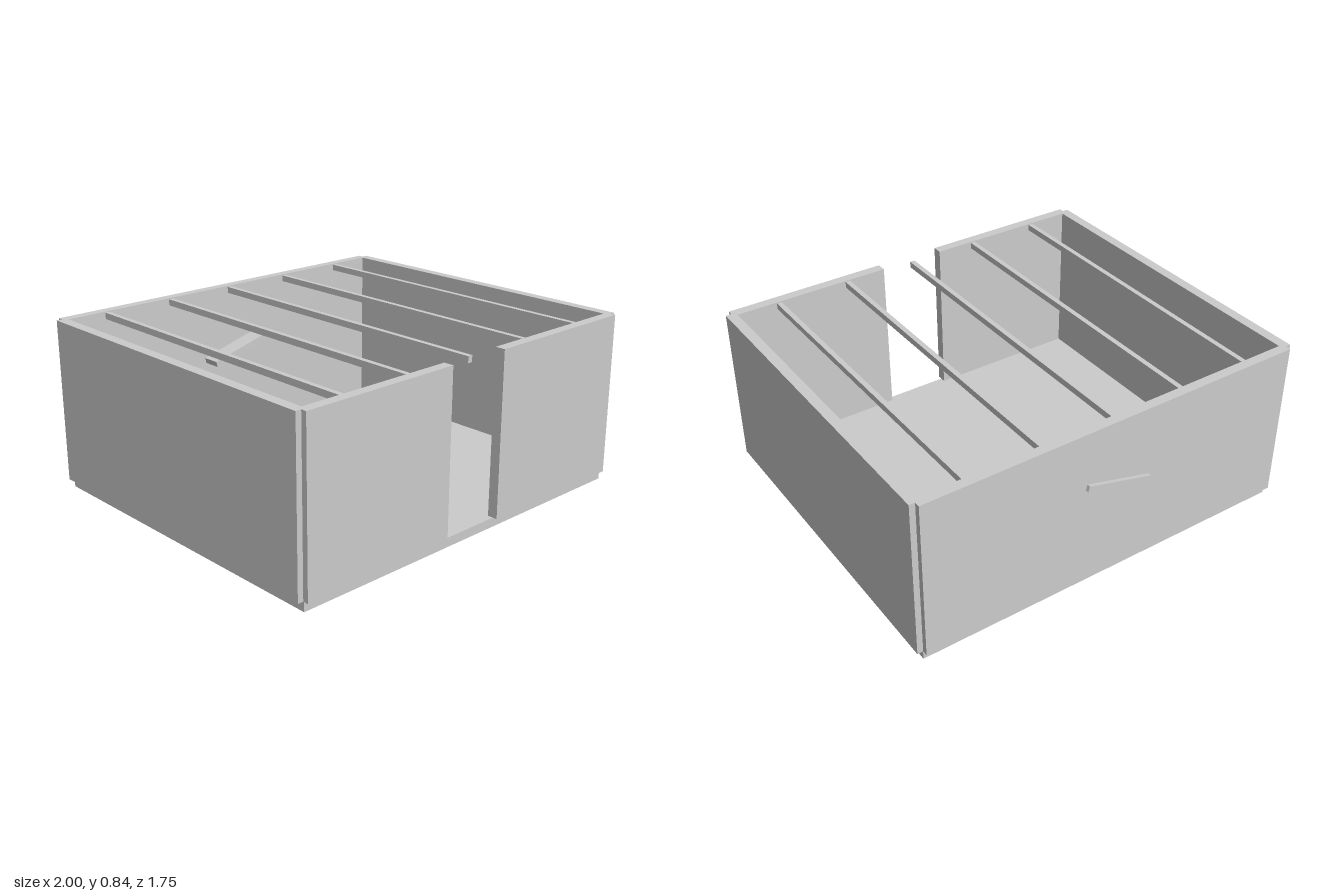
import * as THREE from 'three';

export function createModel() {
  const model = new THREE.Group();
  const material = new THREE.MeshStandardMaterial({ color: 0xcccccc, flatShading: true });

  // Box given by its lower and upper limits on each axis
  function box(name, [x0, x1], [y0, y1], [z0, z1]) {
    const mesh = new THREE.Mesh(new THREE.BoxGeometry(x1 - x0, y1 - y0, z1 - z0), material);
    mesh.name = name;
    mesh.position.set((x0 + x1) / 2, (y0 + y1) / 2, (z0 + z1) / 2);
    model.add(mesh);
    return mesh;
  }

  const wallY = [0.045, 0.842];

  // Floor slab, set in slightly from the walls
  box('floor', [-0.972, 0.972], [0, 0.045], [-0.832, 0.85]);

  // Side walls, standing proud of the corners
  box('leftWall', [0.95, 1], wallY, [-0.833, 0.845]);
  box('rightWall', [-1, -0.95], wallY, [-0.833, 0.845]);

  // Back wall, and front wall split by the doorway
  box('backWall', [-0.972, 0.972], wallY, [-0.86, -0.812]);
  box('frontWallLeft', [0.162, 0.972], wallY, [0.822, 0.872]);
  box('frontWallRight', [-0.972, -0.166], wallY, [0.822, 0.872]);

  // Roof beams running front to back
  for (const x of [-0.738, -0.37, -0.003, 0.366, 0.736]) {
    box('roofBeam', [x - 0.0125, x + 0.0125], [0.806, 0.837], [-0.812, 0.822]);
  }

  // Tilted board passing through the back wall
  const board = box('tiltedBoard', [-0.178, 0.172], [0.505, 0.534], [-0.877, -0.718]);
  board.rotation.z = THREE.MathUtils.degToRad(15);

  return model;
}
